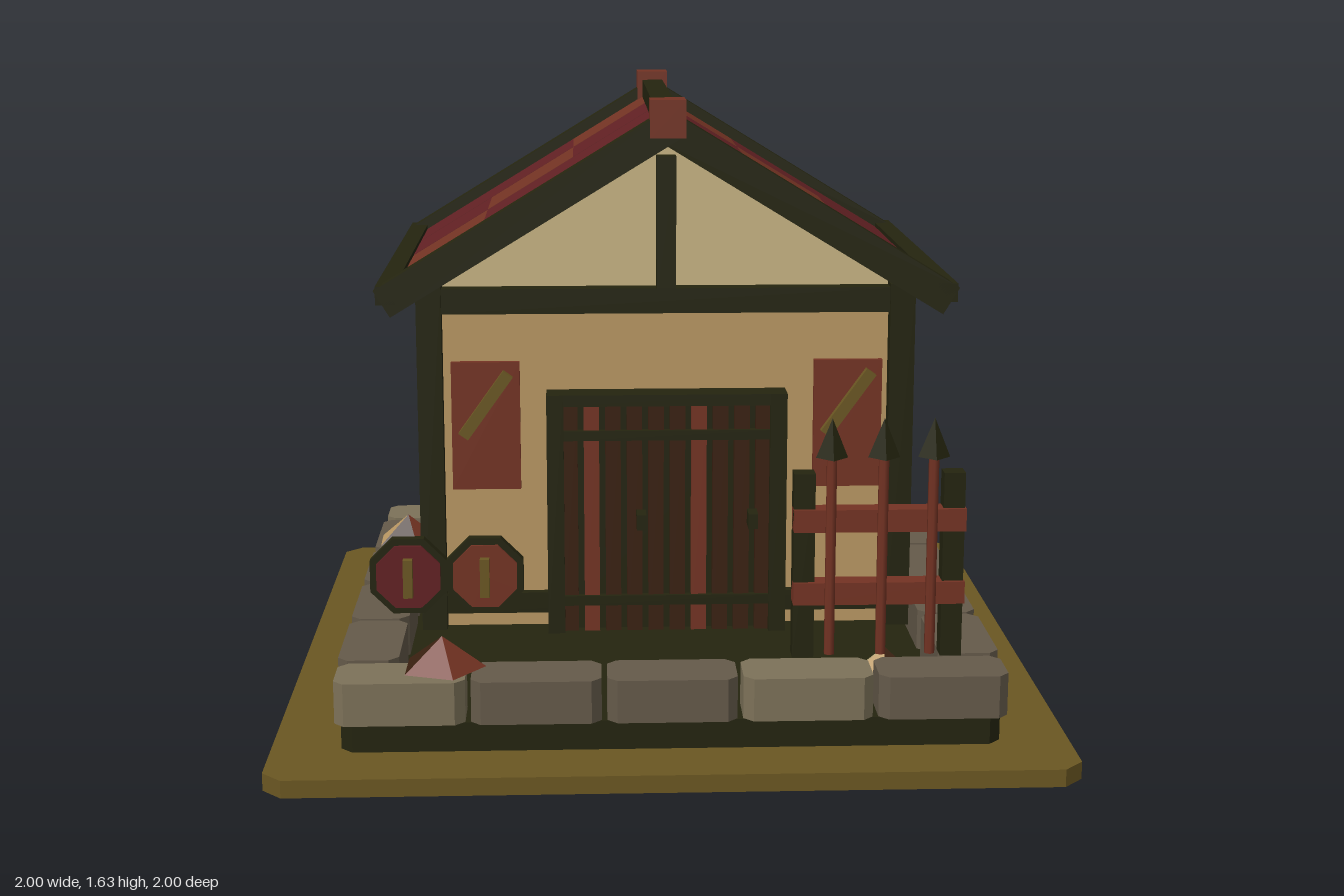
import * as THREE from 'three';

const mat = (name, color) => {
  const m = new THREE.MeshStandardMaterial({ color });
  m.name = name;
  return m;
};

export function createModel() {
  const root = new THREE.Group();
  root.name = 'timberHut';
  const M = {
    earth: mat('olive earth', 0x6b5722),
    timber: mat('dark timber', 0x24240f),
    wall: mat('tan plaster', 0xba9863),
    cream: mat('cream plaster', 0xc8b483),
    red: mat('dark red', 0x622023),
    rust: mat('rust', 0x743323),
    plank: mat('dark brown plank', 0x3a2010),
    stone: mat('grey stone', 0x655a4a),
    pale: mat('pale stone', 0x7d7259),
  };

  const add = (name, geo, material, parent = root) => {
    const mesh = new THREE.Mesh(geo, material);
    mesh.name = name;
    parent.add(mesh);
    return mesh;
  };
  // Box given by its extents along each axis
  const box = (name, m, x0, x1, y0, y1, z0, z1, parent = root) => {
    const mesh = add(name, new THREE.BoxGeometry(x1 - x0, y1 - y0, z1 - z0), m, parent);
    mesh.position.set((x0 + x1) / 2, (y0 + y1) / 2, (z0 + z1) / 2);
    return mesh;
  };
  // Slab with cut corners in plan
  const slab = (name, m, x0, x1, y0, y1, z0, z1, c) => {
    const w = (x1 - x0) / 2, d = (z1 - z0) / 2;
    const shape = new THREE.Shape([
      [-w + c, -d], [w - c, -d], [w, -d + c], [w, d - c],
      [w - c, d], [-w + c, d], [-w, d - c], [-w, -d + c],
    ].map(([x, y]) => new THREE.Vector2(x, y)));
    const geo = new THREE.ExtrudeGeometry(shape, { depth: y1 - y0, bevelEnabled: false });
    geo.rotateX(-Math.PI / 2);
    const mesh = add(name, geo, m);
    mesh.position.set((x0 + x1) / 2, y0, (z0 + z1) / 2);
    return mesh;
  };
  const group = (name) => {
    const g = new THREE.Group();
    g.name = name;
    root.add(g);
    return g;
  };

  // Ground plate and foundation
  slab('ground', M.earth, -1, 1, 0, 0.045, -1, 1, 0.05);
  slab('foundation', M.timber, -0.825, 0.825, 0.045, 0.12, -0.825, 0.825, 0.03);

  // Ring of kerb stones
  const P = 0.338, G = 0.007;
  for (let i = 0; i < 5; i++) {
    const x = -2.5 * P + i * P;
    const m = i === 0 || i === 3 ? M.pale : M.stone;
    slab('backStone', m, x + G, x + P - G, 0.12, 0.23, -0.845, -0.69, 0.025);
    slab('frontStone', m, x + G, x + P - G, 0.12, 0.23, 0.69, 0.845, 0.025);
  }
  for (const s of [-1, 1]) for (let i = 0; i < 4; i++) {
    const z = -2 * P + i * P, x = s * 0.7675;
    slab('sideStone', M.stone, x - 0.0775, x + 0.0775, 0.12, 0.23, z + G, z + P - G, 0.025);
  }

  // Walls and timber frame
  box('walls', M.wall, -0.61, 0.61, 0.23, 1.14, -0.62, 0.39);
  for (const s of [-1, 1]) {
    for (const z of [0.395, -0.625])
      box('cornerPost', M.timber, s * 0.6125 - 0.0325, s * 0.6125 + 0.0325, 0.23, 1.15, z - 0.035, z + 0.035);
    for (const [y0, y1] of [[0.27, 0.325], [1.075, 1.14]])
      box('sideBeam', M.timber, s * 0.615 - 0.025, s * 0.615 + 0.025, y0, y1, -0.64, 0.41);
    const brace = box('brace', M.plank, s * 0.615 - 0.015, s * 0.615 + 0.015, 0.31, 1.08, 0.085, 0.12);
    brace.rotation.x = -Math.atan2(0.27, 0.73);
  }
  for (const z of [0.39, -0.62]) {
    box('sillBeam', M.timber, -0.6, 0.6, 0.27, 0.325, z - 0.03, z + 0.025);
    box('tieBeam', M.timber, -0.62, 0.62, 1.075, 1.14, z - 0.03, z + 0.03);
    box('kingPost', M.timber, -0.025, 0.025, 1.12, 1.48, z - 0.025, z + 0.03);
  }

  // Gable and bare roof deck as one prism
  const gable = new THREE.Shape([[-0.62, 1.14], [0.62, 1.14], [0.62, 1.164], [0, 1.545], [-0.62, 1.164]]
    .map(([x, y]) => new THREE.Vector2(x, y)));
  const gableGeo = new THREE.ExtrudeGeometry(gable, { depth: 0.98, bevelEnabled: false });
  add('gableRoof', gableGeo, M.cream).position.z = -0.61;

  // Tiles, verge boards and eaves; the roof line falls away from the ridge
  const angle = Math.atan(0.61);
  const onSlope = (name, m, s, x0, x1, top, thick, z0, z1) => {
    const mesh = add(name, new THREE.BoxGeometry((x1 - x0) / Math.cos(angle), thick, z1 - z0), m);
    const x = (x0 + x1) / 2;
    mesh.position.set(s * (x - Math.sin(angle) * thick / 2),
      top - 0.61 * x - Math.cos(angle) * thick / 2, (z0 + z1) / 2);
    mesh.rotation.z = -s * angle;
  };
  const rows = [[-0.685, -0.42, 0], [-0.41, -0.125, 1], [-0.115, 0.18, 2]];
  const cols = [0.02, 0.24, 0.48, 0.705];
  for (const s of [-1, 1]) {
    for (const [z0, z1, rust] of rows) for (let c = 0; c < 3; c++)
      onSlope('roofTile', c === rust ? M.rust : M.red, s, cols[c], cols[c + 1], 1.572, 0.022, z0, z1);
    for (const [z0, z1] of [[0.445, 0.51], [-0.74, -0.68]])
      onSlope('vergeBoard', M.timber, s, 0, 0.745, 1.606, 0.08, z0, z1);
    box('eavesBeam', M.timber, s * 0.715 - 0.025, s * 0.715 + 0.025, 1.115, 1.163, -0.74, 0.51);
  }
  box('ridgeBeam', M.timber, -0.03, 0.03, 1.545, 1.605, -0.74, 0.51);
  for (const z of [0.48, -0.71]) box('ridgeCap', M.rust, -0.045, 0.045, 1.535, 1.63, z - 0.05, z + 0.05);

  // Double door of planks in a frame
  const door = group('door');
  box('doorBacking', M.timber, -0.3, 0.3, 0.23, 0.86, 0.385, 0.425, door);
  for (const s of [-1, 1]) {
    box('doorJamb', M.timber, s * 0.29 - 0.022, s * 0.29 + 0.022, 0.23, 0.87, 0.385, 0.47, door);
    box('doorHandle', M.timber, s < 0 ? -0.08 : 0.21, s < 0 ? -0.055 : 0.235, 0.52, 0.56, 0.45, 0.51, door);
  }
  box('doorLintel', M.timber, -0.31, 0.31, 0.84, 0.87, 0.385, 0.47, door);
  for (let i = 0; i < 10; i++) {
    const x = -0.252 + i * 0.056;
    box('doorPlank', i === 1 || i === 6 ? M.rust : M.plank, x - 0.02, x + 0.02, 0.23, 0.84, 0.425, 0.45, door);
  }
  for (const y of [0.76, 0.315]) box('doorBar', M.timber, -0.28, 0.28, y - 0.013, y + 0.013, 0.44, 0.46, door);

  // Wall panels with a slanted strip
  for (const s of [-1, 1]) {
    const x = s * 0.467;
    box('wallPanel', M.rust, x - 0.088, x + 0.088, 0.625, 0.96, 0.458, 0.475);
    const strip = box('panelStrip', M.earth, x - 0.1, x + 0.1, 0.835, 0.865, 0.475, 0.497);
    strip.rotation.z = 0.95;
  }

  // Round shields beside the door
  [[-0.665, M.red], [-0.47, M.rust]].forEach(([x, m]) => {
    const shield = group('shield');
    shield.position.set(x, 0.43, 0);
    const disc = (name, r, z0, z1, mm) => {
      const geo = new THREE.CylinderGeometry(r, r, z1 - z0, 8).rotateY(Math.PI / 8).rotateX(Math.PI / 2).toNonIndexed();
      geo.computeVertexNormals();
      add(name, geo, mm, shield).position.z = (z0 + z1) / 2;
    };
    disc('shieldRim', 0.106, 0.572, 0.6, M.timber);
    disc('shieldFace', 0.088, 0.6, 0.608, m);
    box('shieldBar', M.earth, -0.012, 0.012, -0.05, 0.05, 0.605, 0.63, shield);
  });

  // Fence with spears
  const fence = group('fence');
  for (const x of [0.337, 0.715]) box('fencePost', M.timber, x - 0.027, x + 0.027, 0.23, 0.71, 0.635, 0.685, fence);
  for (const y of [0.4, 0.59]) box('fenceRail', M.rust, 0.31, 0.745, y - 0.029, y + 0.029, 0.64, 0.695, fence);
  for (const x of [0.4, 0.53, 0.655]) {
    const rod = add('spearShaft', new THREE.CylinderGeometry(0.014, 0.014, 0.52, 6), M.rust, fence);
    rod.position.set(x, 0.51, 0.715);
    const tipGeo = new THREE.ConeGeometry(0.04, 0.1, 4).toNonIndexed();
    tipGeo.computeVertexNormals();
    add('spearTip', tipGeo, M.timber, fence).position.set(x, 0.81, 0.715);
  }

  // Five-sided rubble heaps with one colour per facet
  const heapMats = [M.rust, M.cream, M.wall, M.plank, M.rust, M.wall];
  const heap = (x, y, z, r, h, turn) => {
    const geo = new THREE.ConeGeometry(r, h, 5, 1).toNonIndexed();
    geo.computeVertexNormals();
    geo.clearGroups();
    for (let i = 0; i < 5; i++) geo.addGroup(i * 3, 3, i);
    geo.addGroup(15, geo.attributes.position.count - 15, 5);
    const mesh = add('rubble', geo, heapMats);
    mesh.position.set(x, y + h / 2, z);
    mesh.rotation.y = turn;
  };
  heap(-0.575, 0.23, 0.72, 0.11, 0.08, 0.3);
  heap(-0.75, 0.23, -0.44, 0.1, 0.08, 1.6);
  heap(0.57, 0.12, 0.52, 0.1, 0.08, 2.4);

  return root;
}
